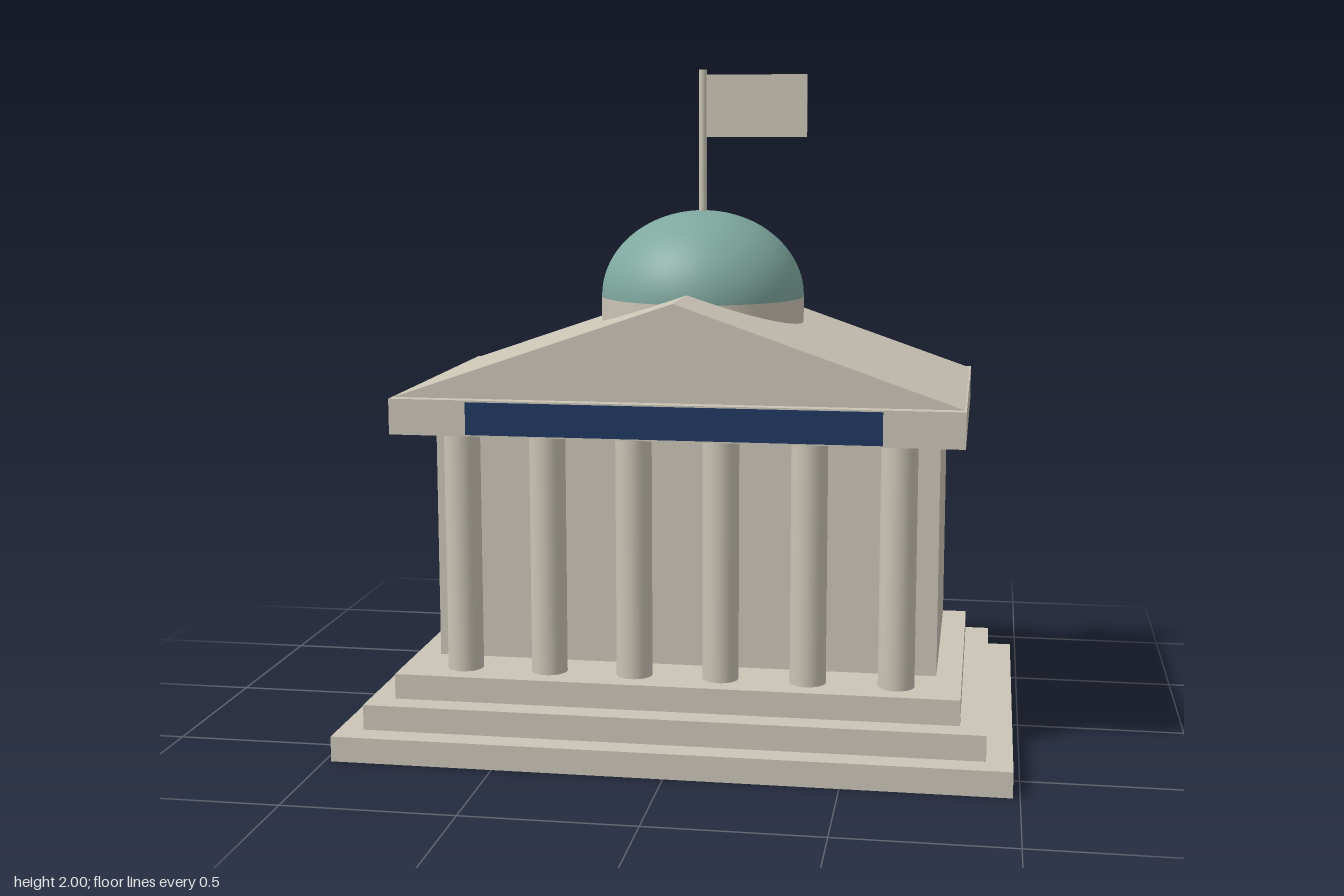
import * as THREE from 'three';

export function createModel() {
  const model = new THREE.Group();
  const stone = new THREE.MeshStandardMaterial({ color: 0xcac4b5 });
  stone.name = 'stone';
  const copper = new THREE.MeshStandardMaterial({ color: 0x7fa89f });
  copper.name = 'copper green';
  const navy = new THREE.MeshStandardMaterial({ color: 0x1f3760 });
  navy.name = 'navy';

  const add = (name, geometry, material, x = 0, y = 0, z = 0) => {
    const mesh = new THREE.Mesh(geometry, material);
    mesh.name = name;
    mesh.position.set(x, y, z);
    model.add(mesh);
    return mesh;
  };
  // Box given by its half width, vertical range and depth range
  const slab = (name, halfX, y0, y1, z0, z1, material = stone) =>
    add(name, new THREE.BoxGeometry(2 * halfX, y1 - y0, z1 - z0), material,
      0, (y0 + y1) / 2, (z0 + z1) / 2);

  // Stepped base
  for (let i = 0; i < 3; i++) {
    const inset = 0.075 * i;
    slab(`step${i + 1}`, 0.98 - inset, inset, inset + 0.075, -0.64 + inset, 0.64 - inset);
  }

  // Hall and the beam over the portico
  slab('hall', 0.755, 0.225, 0.945, -0.49, 0.265);
  slab('entablature', 0.83, 0.945, 1.05, -0.49, 0.49);
  slab('signBand', 0.6, 0.95, 1.045, 0.489, 0.496, navy);

  // Row of columns
  const columnGeometry = new THREE.CylinderGeometry(0.053, 0.053, 0.72, 32);
  for (let i = 0; i < 6; i++) {
    add(`column${i + 1}`, columnGeometry, stone, (i - 2.5) * 0.257, 0.585, 0.38);
  }

  // Gabled roof
  const gable = new THREE.Shape();
  gable.moveTo(-0.825, 0);
  gable.lineTo(0.825, 0);
  gable.lineTo(0, 0.285);
  gable.closePath();
  add('roof', new THREE.ExtrudeGeometry(gable, { depth: 0.91, bevelEnabled: false }),
    stone, 0, 1.05, -0.455);

  // Drum and dome
  const domeZ = -0.115;
  add('drum', new THREE.CylinderGeometry(0.315, 0.315, 0.24, 48), stone, 0, 1.185, domeZ);
  const dome = add('dome',
    new THREE.SphereGeometry(0.315, 48, 20, 0, Math.PI * 2, 0, Math.PI / 2),
    copper, 0, 1.305, domeZ);
  dome.scale.y = 0.265 / 0.315;

  // Flagpole and flag
  add('flagpole', new THREE.CylinderGeometry(0.0125, 0.0125, 0.45, 16), stone, 0, 1.775, domeZ);
  add('flag', new THREE.BoxGeometry(0.315, 0.19, 0.008), stone, 0.1645, 1.89, domeZ);

  return model;
}
